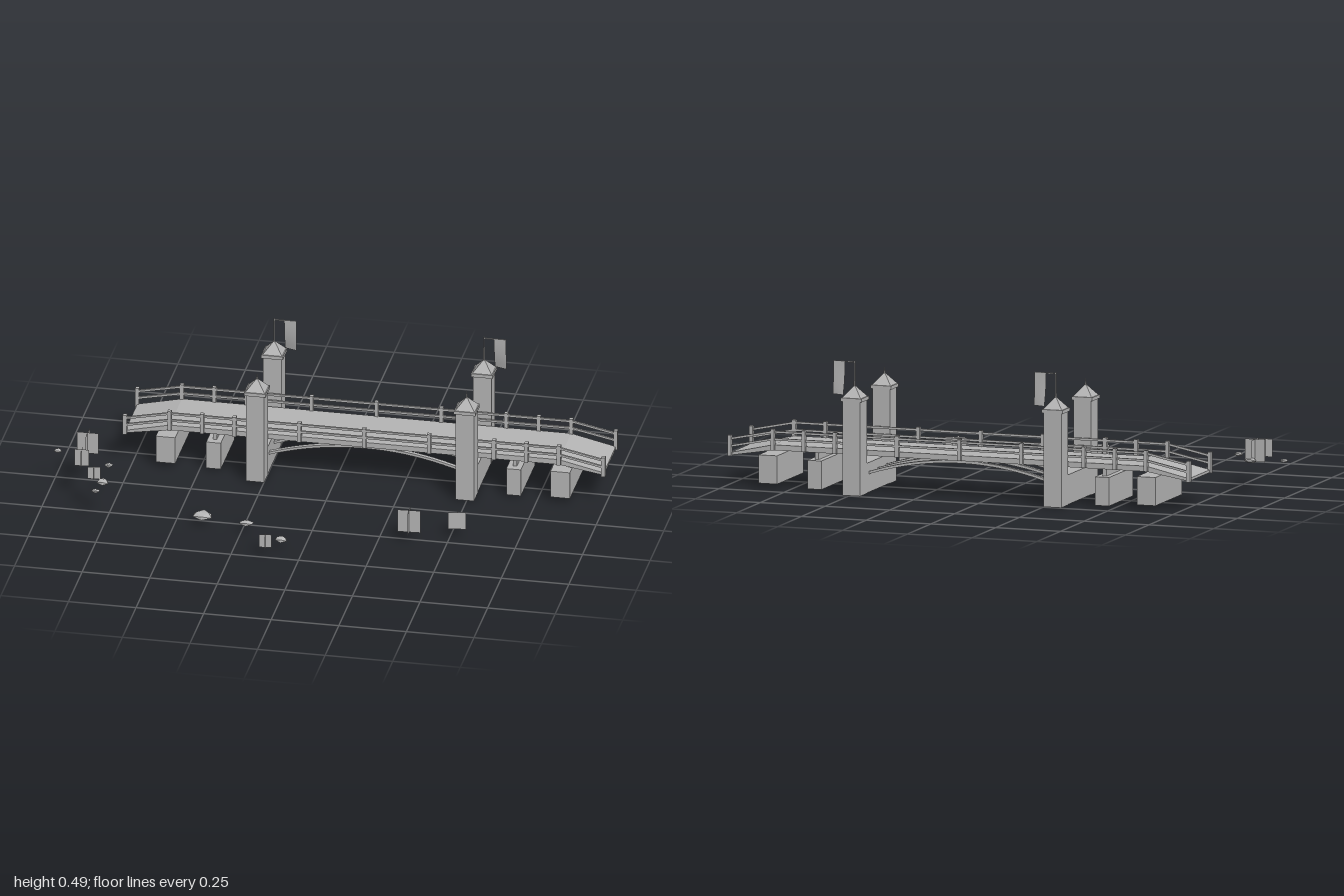
import * as THREE from 'three';

const stone = new THREE.MeshStandardMaterial({ color: 0xb4b4b4, flatShading: true });
stone.name = 'grey stone';
const sheet = new THREE.MeshStandardMaterial({ color: 0xb4b4b4, side: THREE.DoubleSide });
sheet.name = 'grey sheet';

const CX = 0.105, CZ = -0.297; // bridge centre

function add(parent, name, geo, x = 0, y = 0, z = 0, mat = stone) {
  const m = new THREE.Mesh(geo, mat);
  m.name = name;
  m.position.set(x, y, z);
  parent.add(m);
  return m;
}

// Box given by its centre in x and z and its bottom and top
function block(parent, name, x, z, w, d, y0, y1) {
  return add(parent, name, new THREE.BoxGeometry(w, y1 - y0, d), x, (y0 + y1) / 2, z);
}

// Side profile in x and y, extruded across z
function slab(parent, name, pts, depth, z) {
  const shape = new THREE.Shape(pts.map(p => new THREE.Vector2(p[0], p[1])));
  const geo = new THREE.ExtrudeGeometry(shape, { depth, bevelEnabled: false });
  return add(parent, name, geo, 0, 0, z - depth / 2);
}

// Square beam between two points in the x-y plane
function beam(parent, name, a, b, z, t) {
  const len = Math.hypot(b[0] - a[0], b[1] - a[1]);
  const m = add(parent, name, new THREE.BoxGeometry(len, t, t), (a[0] + b[0]) / 2, (a[1] + b[1]) / 2, z);
  m.rotation.z = Math.atan2(b[1] - a[1], b[0] - a[0]);
}

function tower(parent, x, side) {
  const g = new THREE.Group();
  g.name = 'tower';
  g.position.set(x, 0, CZ + side * 0.158);
  parent.add(g);
  block(g, 'towerShaft', 0, 0, 0.068, 0.07, 0, 0.345);
  block(g, 'towerCornice', 0, 0, 0.08, 0.08, 0.345, 0.358);
  const roof = add(g, 'towerRoof', new THREE.ConeGeometry(0.036 * Math.SQRT2, 0.044, 4), 0, 0.38, 0);
  roof.rotation.y = Math.PI / 4;
  if (side > 0) {
    add(g, 'finial', new THREE.ConeGeometry(0.005, 0.035, 6), 0, 0.4085, 0);
  } else {
    // flagpole with a cross arm and a hanging, swaying banner
    add(g, 'flagpole', new THREE.CylinderGeometry(0.002, 0.004, 0.1, 6), 0, 0.442, 0);
    block(g, 'bannerArm', 0.041, 0, 0.082, 0.004, 0.484, 0.488);
    const cloth = new THREE.PlaneGeometry(0.045, 0.12, 2, 6);
    const p = cloth.attributes.position;
    for (let i = 0; i < p.count; i++) {
      const drop = 0.5 - p.getY(i) / 0.12, across = 0.5 + p.getX(i) / 0.045;
      p.setZ(i, -drop * drop * (0.02 - 0.015 * across));
    }
    cloth.computeVertexNormals();
    add(g, 'banner', cloth, 0.0595, 0.426, 0, sheet);
  }
}

function railing(parent, z) {
  const g = new THREE.Group();
  g.name = 'railing';
  parent.add(g);
  const posts = [-0.885, -0.72, -0.6, -0.48, -0.24, 0, 0.24, 0.48, 0.6, 0.72, 0.885];
  for (const p of posts) {
    const end = Math.abs(p) > 0.8;
    block(g, 'railPost', CX + p, z, 0.014, 0.016, end ? 0.108 : 0.138, end ? 0.185 : 0.216);
  }
  for (const y of [0.178, 0.205]) {
    const yEnd = y - 0.034;
    beam(g, 'rail', [CX - 0.72, y], [CX + 0.72, y], z, 0.008);
    for (const s of [-1, 1]) beam(g, 'rampRail', [CX + s * 0.72, y], [CX + s * 0.885, yEnd], z, 0.008);
  }
}

function arch(parent, z) {
  // thin curved rib from tower to tower
  const top = [], bottom = [];
  for (let i = 0; i <= 20; i++) {
    const t = i / 10 - 1, y = 0.136 - 0.06 * t * t;
    top.push([CX + t * 0.36, y]);
    bottom.unshift([CX + t * 0.36, y - 0.01]);
  }
  slab(parent, 'archRib', [...top, ...bottom], 0.016, z);
}

function plant(parent, x, y, z, size, h, turn) {
  const g = new THREE.Group();
  g.name = 'plant';
  g.position.set(x, y + h / 2, z);
  g.rotation.y = turn;
  parent.add(g);
  for (let i = 0; i < 2; i++) {
    add(g, 'leafSheet', new THREE.PlaneGeometry(size, h), 0, 0, 0, sheet).rotation.y = i * Math.PI / 2;
  }
}

function rock(parent, x, y, z, w, h, d, seed) {
  const geo = new THREE.IcosahedronGeometry(0.5, 0);
  const p = geo.attributes.position;
  for (let i = 0; i < p.count; i++) {
    // same shift for corners that share a place
    const k = 1 + 0.12 * Math.sin(seed * 3 + p.getX(i) * 9 + p.getY(i) * 13 + p.getZ(i) * 17);
    p.setXYZ(i, p.getX(i) * k * w, Math.max(p.getY(i) * k, -0.4) * h, p.getZ(i) * k * d);
  }
  geo.computeVertexNormals();
  add(parent, 'rock', geo, x, y + h * 0.45, z);
}

export function createModel() {
  const root = new THREE.Group();
  root.name = 'bridge';

  // Deck with a ramp at each end
  const half = [[0.72, 0.157], [0.885, 0.12], [0.885, 0.11], [0.72, 0.137]];
  block(root, 'deck', CX, CZ, 1.44, 0.222, 0.137, 0.157);
  slab(root, 'rightRamp', half.map(p => [CX + p[0], p[1]]), 0.222, CZ);
  slab(root, 'leftRamp', half.map(p => [CX - p[0], p[1]]), 0.222, CZ);

  for (const s of [-1, 1]) {
    railing(root, CZ + s * 0.113);
    // Piers below the deck
    block(root, 'outerPier', CX + s * 0.73, CZ, 0.072, 0.28, 0.018, 0.122);
    block(root, 'innerPier', CX + s * 0.555, CZ, 0.054, 0.254, 0.005, 0.11);
    block(root, 'pierCap', CX + s * 0.555, CZ, 0.014, 0.2, 0.11, 0.138);
    block(root, 'towerWall', CX + s * 0.388, CZ, 0.066, 0.248, 0.001, 0.11);
    for (const side of [-1, 1]) tower(root, CX + s * 0.388, side);
  }
  for (const dz of [-0.09, 0, 0.09]) arch(root, CZ + dz);

  // Plants: x, y, z, width, height, turn
  [[-0.128, 0.027, 0.474, 0.045, 0.052, 0.1], [0.357, 0.026, 0.245, 0.084, 0.088, 0.05],
    [0.523, 0.026, 0.187, 0.064, 0.067, 0.17], [-0.81, 0.124, 0.237, 0.048, 0.048, 0.13],
    [-0.875, 0.124, 0.141, 0.053, 0.066, 0.08], [-0.875, 0.122, 0.03, 0.079, 0.083, 0],
  ].forEach(a => plant(root, ...a));

  // Rocks: x, y, z, width, height, depth
  [[-0.87, 0.122, -0.003, 0.05, 0.022, 0.034], [-0.982, 0.122, 0.044, 0.032, 0.015, 0.026],
    [-0.777, 0.122, 0.128, 0.032, 0.018, 0.033], [-0.77, 0.122, 0.275, 0.047, 0.025, 0.038],
    [-0.782, 0.122, 0.345, 0.032, 0.018, 0.026], [-0.4, 0.025, 0.277, 0.08, 0.025, 0.068],
    [-0.232, 0.025, 0.308, 0.055, 0.024, 0.04], [-0.082, 0.025, 0.414, 0.05, 0.022, 0.037],
  ].forEach((a, i) => rock(root, ...a, i + 1));

  return root;
}
